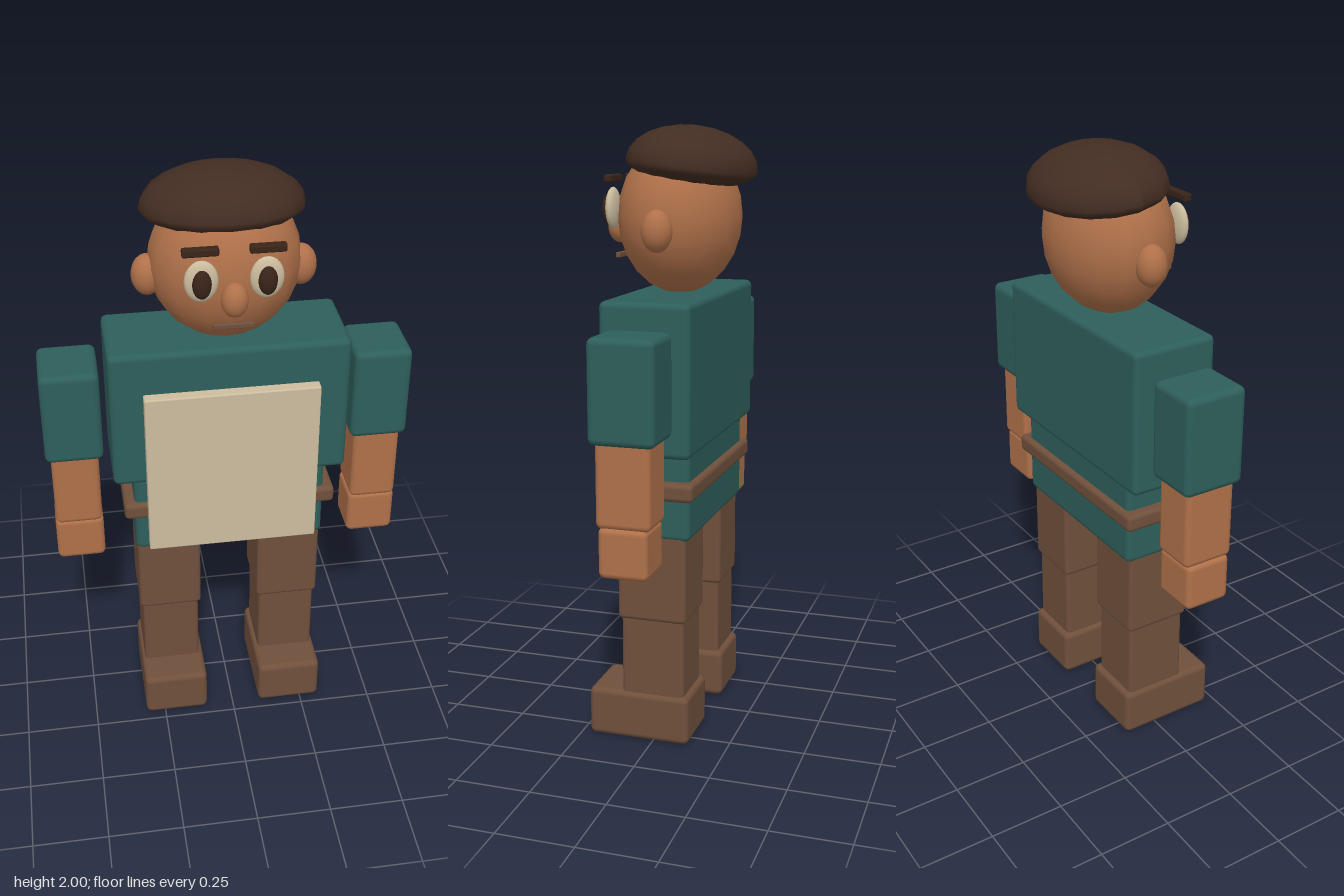
import * as THREE from 'three';
import { RoundedBoxGeometry } from 'three/addons/geometries/RoundedBoxGeometry.js';

const mat = (name, color) => {
  const m = new THREE.MeshStandardMaterial({ color });
  m.name = name;
  return m;
};

export function createModel() {
  const skin = mat('skin', 0xb0714a);
  const shirt = mat('teal shirt', 0x2e5f5b);
  const brown = mat('brown cloth', 0x70503c);
  const hair = mat('hair', 0x432d22);
  const cream = mat('cream', 0xcdbd9f);
  const dark = mat('dark brown', 0x3a241a);

  const model = new THREE.Group();
  model.name = 'figure';

  const add = (name, geometry, material, x, y, z) => {
    const mesh = new THREE.Mesh(geometry, material);
    mesh.name = name;
    mesh.position.set(x, y, z);
    model.add(mesh);
    return mesh;
  };
  // Rounded box given by its extents on each axis
  const box = (name, material, [x0, x1], [y0, y1], [z0, z1], r = 0.02) =>
    add(name, new RoundedBoxGeometry(x1 - x0, y1 - y0, z1 - z0, 2, r), material,
      (x0 + x1) / 2, (y0 + y1) / 2, (z0 + z1) / 2);
  // Ellipsoid given by its centre and radii
  const ball = (name, material, [x, y, z], [rx, ry, rz], w = 16, h = 12) =>
    add(name, new THREE.SphereGeometry(1, w, h).scale(rx, ry, rz), material, x, y, z);
  // Extent on the left (+x) or right (-x) side
  const side = (s, a, b) => (s > 0 ? [a, b] : [-b, -a]);

  // Torso, belt and apron
  box('chest', shirt, [-0.385, 0.385], [0.985, 1.47], [-0.147, 0.147]);
  box('waist', shirt, [-0.32, 0.32], [0.7, 1.02], [-0.127, 0.13]);
  box('belt', brown, [-0.355, 0.355], [0.84, 0.9], [-0.147, 0.147], 0.016);
  box('apron', cream, [-0.28, 0.28], [0.75, 1.34], [0.16, 0.2], 0.005);

  // Head and face centre
  ball('head', skin, [0, 1.71, 0], [0.24, 0.25, 0.2]);
  ball('nose', skin, [0, 1.675, 0.208], [0.042, 0.055, 0.042]);
  box('mouth', brown, [-0.062, 0.062], [1.574, 1.592], [0.19, 0.205], 0.004);

  // Hair cap: a dome with a shallow rounded underside, tilted down at the back
  const cap = new THREE.SphereGeometry(1, 16, 12);
  const p = cap.attributes.position;
  for (let i = 0; i < p.count; i++) {
    const y = p.getY(i);
    p.setXYZ(i, p.getX(i) * 0.257, y * (y > 0 ? 0.128 : 0.065), p.getZ(i) * 0.211);
  }
  cap.computeVertexNormals();
  add('hair', cap, hair, 0, 1.872, -0.039).rotation.x = -0.12;

  // Paired parts
  for (const s of [1, -1]) {
    const n = s > 0 ? 'left' : 'right';
    ball(n + 'Ear', skin, [s * 0.24, 1.675, 0.003], [0.05, 0.067, 0.05]);
    ball(n + 'Eye', cream, [s * 0.098, 1.738, 0.198], [0.052, 0.067, 0.02]);
    ball(n + 'Pupil', dark, [s * 0.098, 1.735, 0.215], [0.029, 0.046, 0.019]);
    box(n + 'Brow', dark, side(s, 0.045, 0.155), [1.82, 1.845], [0.183, 0.21], 0.006);

    box(n + 'UpperArm', shirt, side(s, 0.41, 0.6), [1.065, 1.39], [-0.105, 0.107], 0.022);
    box(n + 'Forearm', skin, side(s, 0.427, 0.583), [0.805, 1.09], [-0.086, 0.09]);
    box(n + 'Hand', skin, side(s, 0.424, 0.586), [0.65, 0.812], [-0.077, 0.082]);

    box(n + 'Thigh', brown, side(s, 0.1, 0.316), [0.42, 0.73], [-0.113, 0.117], 0.015);
    box(n + 'Shin', brown, side(s, 0.11, 0.307), [0.14, 0.44], [-0.104, 0.108], 0.015);
    box(n + 'Foot', brown, side(s, 0.095, 0.318), [0, 0.165], [-0.122, 0.222]);
  }
  return model;
}
